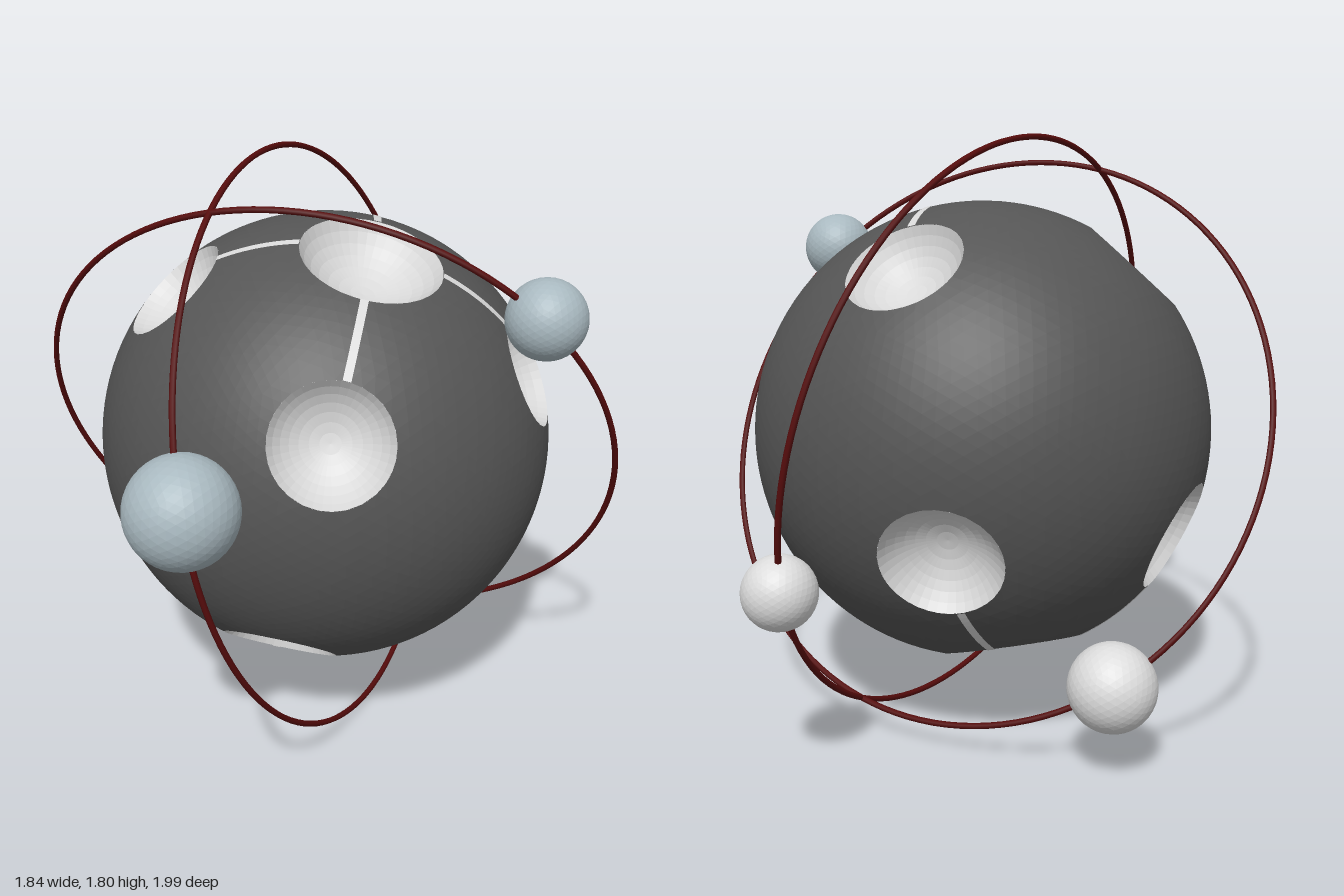
import * as THREE from 'three';
import { mergeVertices } from 'three/addons/utils/BufferGeometryUtils.js';

const R = 0.705; // radius of the central globe
const V = (x, y, z) => new THREE.Vector3(x, y, z);

function material(name, color, extra = {}) {
  const m = new THREE.MeshStandardMaterial({ color, flatShading: true, ...extra });
  m.name = name;
  return m;
}

// One polar crater and four around it, repeated on the opposite side
const POLE = { dir: V(0.268, 0.939, 0.216), rim: 0.213 };
const AROUND = [V(0.285, 0.36, 0.888), V(-0.6, 0.747, 0.307), V(0.917, 0.4, -0.05), V(0.03, 0.78, -0.625)]
  .map(dir => ({ dir, rim: 0.177 }));
const flip = c => ({ dir: c.dir.clone().negate(), rim: c.rim });
const HALVES = [[POLE, ...AROUND], [POLE, ...AROUND].map(flip)];
const CRATERS = HALVES.flat();
for (const c of CRATERS) {
  c.dir.normalize();
  c.angle = Math.asin(c.rim / R);
}

// Globe with round holes: vertices nearest a rim slide onto it, triangles inside are dropped
function globeGeometry() {
  let geo = new THREE.IcosahedronGeometry(R, 20);
  geo.deleteAttribute('normal');
  geo.deleteAttribute('uv');
  geo = mergeVertices(geo, 1e-4);
  const pos = geo.attributes.position;
  const pts = Array.from({ length: pos.count }, (_, i) => V().fromBufferAttribute(pos, i));
  let faces = [];
  const index = geo.index.array;
  for (let i = 0; i < index.length; i += 3) faces.push([index[i], index[i + 1], index[i + 2]]);

  for (const c of CRATERS) {
    const offset = pts.map(p => p.angleTo(c.dir) - c.angle);
    for (const f of faces) {
      for (let k = 0; k < 3; k++) {
        const a = f[k], b = f[(k + 1) % 3];
        if (offset[a] * offset[b] >= 0) continue;
        const near = Math.abs(offset[a]) < Math.abs(offset[b]) ? a : b;
        const side = pts[near].clone().projectOnPlane(c.dir).normalize();
        pts[near].copy(c.dir).multiplyScalar(R * Math.cos(c.angle)).addScaledVector(side, c.rim);
        offset[near] = 0;
      }
    }
    faces = faces.filter(f => f.some(i => offset[i] > 0));
  }
  pts.forEach((p, i) => pos.setXYZ(i, p.x, p.y, p.z));
  geo.setIndex(faces.flat());
  geo.computeVertexNormals();
  return geo;
}

// Shallow round bowl whose edge meets the hole in the globe
function bowlGeometry(rim) {
  const depth = rim * 0.58;
  const radius = (rim * rim + depth * depth) / (2 * depth);
  const reach = Math.asin(rim / radius);
  const top = Math.sqrt(R * R - rim * rim);
  const profile = [];
  for (let i = 0; i <= 7; i++) {
    const t = reach * i / 7;
    profile.push(new THREE.Vector2(radius * Math.sin(t), top - depth + radius * (1 - Math.cos(t))));
  }
  return new THREE.LatheGeometry(profile, 40);
}

// Narrow band on the globe from one crater rim to another
function channelMesh(a, b, mat) {
  const axis = a.dir.clone().cross(b.dir).normalize();
  const length = a.dir.angleTo(b.dir) - a.angle - b.angle;
  const geo = new THREE.CylinderGeometry(R + 0.002, R + 0.002, 0.024, 12, 1, true, a.angle, length);
  const mesh = new THREE.Mesh(geo, mat);
  mesh.quaternion.setFromRotationMatrix(
    new THREE.Matrix4().makeBasis(axis.clone().cross(a.dir), axis, a.dir));
  return mesh;
}

export function createModel() {
  const dark = material('darkGrey', 0x555555);
  const light = material('lightGrey', 0xdcdcdc);
  const inner = material('craterGrey', 0xd8d8d8, { side: THREE.DoubleSide });
  const blue = material('blueGrey', 0xa9b9c0);
  const red = material('darkRed', 0x560c0c);
  red.flatShading = false;

  const model = new THREE.Group();
  model.name = 'orbitedGlobe';
  const body = new THREE.Group();
  body.name = 'body';
  body.position.set(0, 0.902, -0.053);
  model.add(body);
  const add = (mesh, name) => {
    mesh.name = name;
    body.add(mesh);
    return mesh;
  };

  add(new THREE.Mesh(globeGeometry(), dark), 'globe');

  // Craters
  for (const c of CRATERS) {
    const bowl = add(new THREE.Mesh(bowlGeometry(c.rim), inner), 'crater');
    bowl.quaternion.setFromUnitVectors(V(0, 1, 0), c.dir);
  }

  // Channels from each polar crater to its four neighbours
  for (const [pole, ...others] of HALVES) {
    for (const c of others) add(channelMesh(pole, c, inner), 'channel');
  }

  // Two tilted orbit rings
  for (const normal of [V(0, -0.436, 0.9), V(1, 0.22, 0.11)]) {
    const ring = add(new THREE.Mesh(new THREE.TorusGeometry(0.912, 0.009, 8, 128), red), 'orbitRing');
    ring.quaternion.setFromUnitVectors(V(0, 0, 1), normal.normalize());
  }

  // Moons threaded on the rings
  const moons = [
    [-0.125, 0.143, 0.893, 0.156, blue],
    [0.7, 0.533, 0.245, 0.115, blue],
    [-0.583, -0.63, -0.322, 0.129, light],
    [0.167, -0.315, -0.842, 0.105, light],
  ];
  for (const [x, y, z, r, mat] of moons) {
    add(new THREE.Mesh(new THREE.IcosahedronGeometry(r, 6), mat), 'moon').position.set(x, y, z);
  }
  return model;
}
